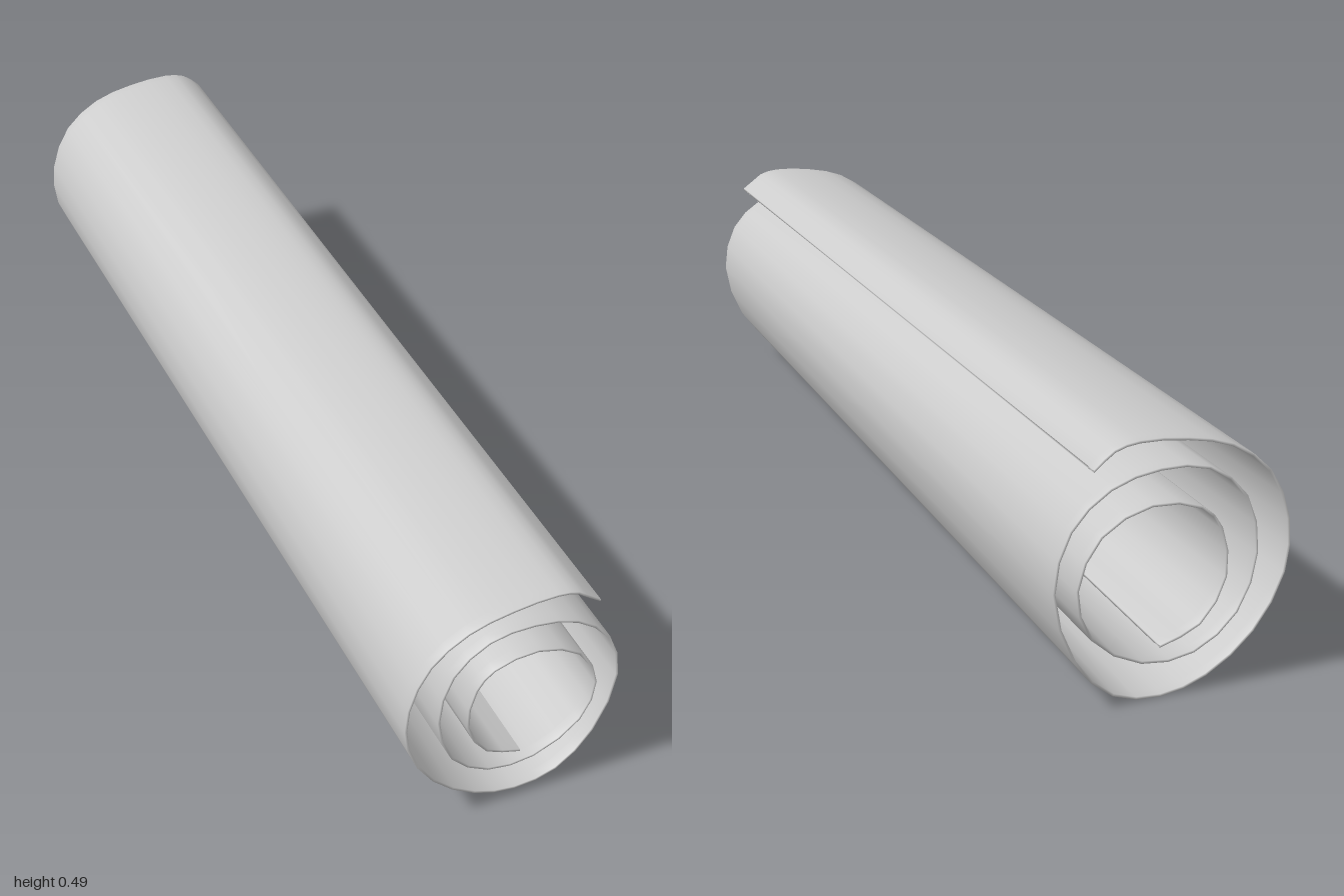
import * as THREE from 'three';

// Spiral of the sheet's outer face at its wide back end, from the core outwards (x, y)
const SPIRAL = [
  [0.023, 0.097], [-0.055, 0.127], [-0.103, 0.21], [-0.09, 0.305], [-0.05, 0.35], [0.046, 0.369],
  [0.141, 0.326], [0.184, 0.232], [0.155, 0.137], [0.057, 0.073], [-0.045, 0.075],
  [-0.127, 0.137], [-0.162, 0.246], [-0.136, 0.357], [-0.062, 0.421], [0.032, 0.433],
  [0.125, 0.41], [0.198, 0.344], [0.227, 0.234], [0.186, 0.1], [0.11, 0.021],
  [0.018, 0.002], [-0.071, 0.025], [-0.161, 0.094], [-0.218, 0.198], [-0.221, 0.301],
  [-0.179, 0.398], [-0.104, 0.456], [-0.018, 0.48], [0.073, 0.488], [0.12, 0.478], [0.157, 0.448],
];
const SEGMENTS = 62;
const TAPER = 0.015; // how far each turn draws in at the front
const THICKNESS = 0.005;

// Section through the sheet along z: [z, depth below the outer face]
const SECTION = [
  [-1, 0], [-0.98, 0], [0.98, 0], [1, 0],
  [1, THICKNESS], [0.98, THICKNESS], [-0.98, THICKNESS], [-1, THICKNESS],
];

function rolledSheetGeometry() {
  const curve = new THREE.CatmullRomCurve3(SPIRAL.map(([x, y]) => new THREE.Vector3(x, y, 0)));
  const positions = [];
  const index = [];
  const m = SECTION.length;
  const quad = (a, b, c, d) => index.push(a, b, c, a, c, d);

  for (let i = 0; i <= SEGMENTS; i++) {
    const p = curve.getPoint(i / SEGMENTS);
    const t = curve.getTangent(i / SEGMENTS);
    let nx = -t.y, ny = t.x;
    // The two free edges run straight along z
    if (i === 0 || i === SEGMENTS) {
      nx = 0;
      ny = Math.sign(ny);
    }
    for (const [z, depth] of SECTION) {
      const offset = TAPER * (z + 1) / 2 + depth;
      positions.push(p.x - nx * offset, p.y - ny * offset, z);
    }
  }

  // Faces and front/back rims
  for (let i = 0; i < SEGMENTS; i++) {
    for (let j = 0; j < m; j++) {
      const k = (j + 1) % m;
      quad(i * m + j, i * m + k, (i + 1) * m + k, (i + 1) * m + j);
    }
  }
  // Long free edges at the core and at the outer flap
  const last = SEGMENTS * m;
  for (let k = 0; k < 3; k++) {
    quad(7 - k, 6 - k, k + 1, k);
    quad(last + k, last + k + 1, last + 6 - k, last + 7 - k);
  }

  const geometry = new THREE.BufferGeometry();
  geometry.setAttribute('position', new THREE.Float32BufferAttribute(positions, 3));
  geometry.setIndex(index);
  geometry.computeVertexNormals();
  return geometry;
}

export function createModel() {
  const group = new THREE.Group();
  group.name = 'scroll';
  const material = new THREE.MeshStandardMaterial({ color: 0xcccccc, side: THREE.DoubleSide });
  const sheet = new THREE.Mesh(rolledSheetGeometry(), material);
  sheet.name = 'rolledSheet';
  group.add(sheet);
  return group;
}
